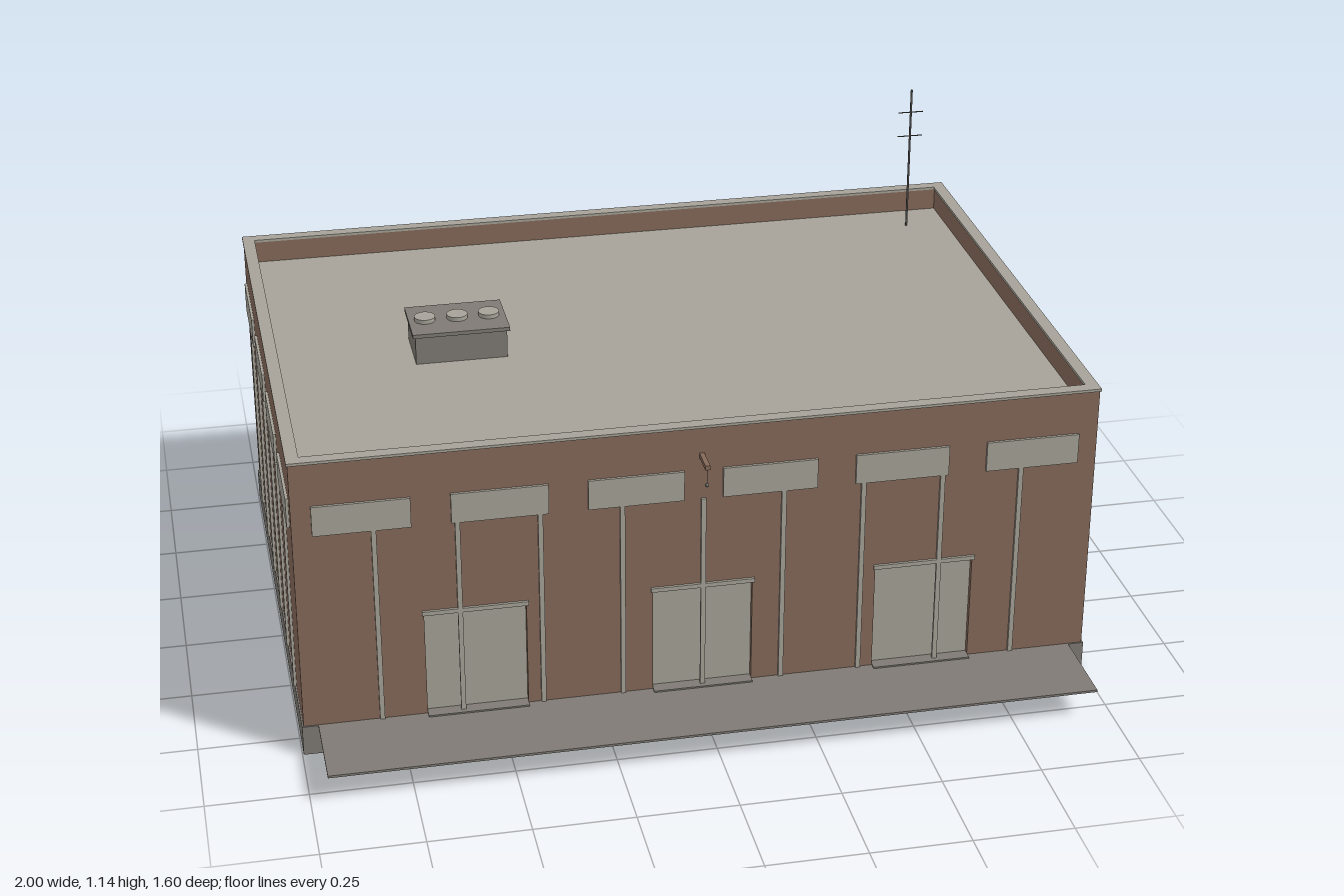
import * as THREE from 'three';

const mat = (name, color) => {
  const m = new THREE.MeshStandardMaterial({ color });
  m.name = name;
  return m;
};

export function createModel() {
  const model = new THREE.Group();
  model.name = 'warehouse';
  const brick = mat('brown brick', 0x846959);
  const pale = mat('pale grey', 0xa6a298);
  const concrete = mat('concrete grey', 0x7f7a74);
  const metal = mat('dark metal', 0x5c5a57);

  const HX = 0.993, ZF = 0.572, ZB = -0.793, H = 0.795, T = 0.026;
  const ZC = (ZF + ZB) / 2, DEPTH = ZF - ZB, BASE = 0.08, ROOF = 0.735;

  const add = (parent, name, geo, material, x = 0, y = 0, z = 0) => {
    const m = new THREE.Mesh(geo, material);
    m.name = name;
    m.position.set(x, y, z);
    parent.add(m);
    return m;
  };
  // Box given by its ranges on each axis
  const box = (parent, name, material, [x0, x1], [y0, y1], [z0, z1]) =>
    add(parent, name, new THREE.BoxGeometry(x1 - x0, y1 - y0, z1 - z0), material,
      (x0 + x1) / 2, (y0 + y1) / 2, (z0 + z1) / 2);
  const rect = (path, x0, x1, y0, y1) =>
    path.moveTo(x0, y0).lineTo(x1, y0).lineTo(x1, y1).lineTo(x0, y1).closePath();
  const hole = (...r) => {
    const p = new THREE.Path();
    rect(p, ...r);
    return p;
  };

  // One side of the building: local x runs along it, local +z points outward
  function side(name, length, wallLength, windows, windowStep, windowWidth, strips, stripStep, doors) {
    const g = new THREE.Group();
    g.name = name;
    const shape = new THREE.Shape();
    rect(shape, -wallLength / 2, wallLength / 2, 0, H);
    doors.forEach(d => shape.holes.push(hole(d.x - d.w / 2, d.x + d.w / 2, BASE, BASE + d.h)));
    const geo = new THREE.ExtrudeGeometry(shape, { depth: T, bevelEnabled: false });
    add(g, 'wall', geo, brick, 0, 0, -T);
    box(g, 'baseBand', concrete, [-length / 2 - 0.004, length / 2 + 0.004], [0, BASE - 0.001], [0, 0.004]);

    for (let i = 0; i < windows; i++) {
      const x = (i - (windows - 1) / 2) * windowStep;
      box(g, 'window', pale, [x - windowWidth / 2, x + windowWidth / 2], [0.605, 0.683], [0, 0.007]);
    }
    for (let i = 0; i < strips; i++) {
      const x = (i - (strips - 1) / 2) * stripStep;
      box(g, 'wallStrip', pale, [x - 0.006, x + 0.006], [BASE, 0.605], [0, 0.007]);
    }
    doors.forEach(d => {
      const a = d.x - d.w / 2, b = d.x + d.w / 2, top = BASE + d.h;
      box(g, 'doorPanel', pale, [a, b], [BASE, top], [-0.02, -0.013]);
      if (d.small) {
        // Brick-coloured frame with a handle on the panel
        box(g, 'doorFrameTop', brick, [a, b], [top - 0.008, top + 0.004], [-0.013, 0.007]);
        for (const x of [a, b]) box(g, 'doorFramePost', brick, [x - 0.005, x + 0.005], [BASE, top], [-0.013, 0.007]);
        box(g, 'doorHandle', metal, [0.021, 0.025], [0.122, 0.15], [-0.013, -0.006]);
      } else {
        box(g, 'doorLintel', pale, [a - 0.005, b + 0.005], [top - 0.004, top + 0.007], [-0.003, 0.007]);
        box(g, 'doorSill', concrete, [a, b], [BASE - 0.003, BASE + 0.003], [-0.013, 0.02]);
      }
    });
    model.add(g);
    return g;
  }

  const bigDoors = [-0.563, 0, 0.563].map(x => ({ x, w: 0.25, h: 0.282 }));
  const smallDoor = { x: 0, w: 0.08, h: 0.085, small: true };
  const front = side('frontSide', 2 * HX, 2 * HX, 6, 0.331, 0.235, 9, 0.2, bigDoors);
  front.position.z = ZF;
  const back = side('backSide', 2 * HX, 2 * HX, 6, 0.331, 0.235, 9, 0.2, []);
  back.position.z = ZB;
  back.rotation.y = Math.PI;
  for (const s of [1, -1]) {
    const g = side(s > 0 ? 'leftSide' : 'rightSide', DEPTH, DEPTH - 2 * T, 4, 0.342, 0.243, 6, 0.196,
      s > 0 ? [smallDoor] : []);
    g.position.set(s * HX, 0, ZC);
    g.rotation.y = s * Math.PI / 2;
  }

  // Roof deck and the coping on the parapet
  box(model, 'roof', pale, [-HX + T, HX - T], [ROOF - 0.01, ROOF], [ZB + T, ZF - T]);
  const coping = new THREE.Shape();
  rect(coping, -HX - 0.003, HX + 0.003, ZB - 0.003, ZF + 0.003);
  coping.holes.push(hole(-HX + T + 0.003, HX - T - 0.003, ZB + T + 0.003, ZF - T - 0.003));
  const copingGeo = new THREE.ExtrudeGeometry(coping, { depth: 0.007, bevelEnabled: false });
  copingGeo.rotateX(Math.PI / 2);
  add(model, 'coping', copingGeo, pale, 0, 0.801, 0);

  // Loading apron along the front
  box(model, 'apron', concrete, [-0.957, 0.957], [0.073, 0.079], [ZF, 0.8]);

  // Roof ventilation unit with three fans
  const vent = new THREE.Group();
  vent.name = 'ventUnit';
  box(vent, 'ventBody', concrete, [-0.615, -0.38], [ROOF, 0.81], [-0.195, -0.035]);
  box(vent, 'ventLid', concrete, [-0.622, -0.373], [0.81, 0.82], [-0.202, -0.028]);
  for (const x of [-0.58, -0.497, -0.415])
    add(vent, 'ventFan', new THREE.CylinderGeometry(0.027, 0.027, 0.012, 20), pale, x, 0.825, -0.115);
  model.add(vent);

  // Antenna with two crossbars
  const antenna = new THREE.Group();
  antenna.name = 'antenna';
  add(antenna, 'mast', new THREE.CylinderGeometry(0.003, 0.003, 1.14 - ROOF, 8), metal, 0.855, (1.14 + ROOF) / 2, -0.66);
  for (const y of [1.005, 1.075])
    add(antenna, 'crossbar', new THREE.CylinderGeometry(0.0015, 0.0015, 0.07, 6), metal, 0.855, y, -0.66).rotation.z = Math.PI / 2;
  model.add(antenna);

  // Hoist beam over the middle door, with its hook weight
  box(model, 'hoistBeam', brick, [-0.011, 0.001], [0.715, 0.727], [ZF, 0.64]);
  add(model, 'hoistCord', new THREE.CylinderGeometry(0.0007, 0.0007, 0.045, 5), metal, -0.005, 0.694, 0.633);
  add(model, 'hoistWeight', new THREE.SphereGeometry(0.005, 10, 8), metal, -0.005, 0.671, 0.633);

  return model;
}
